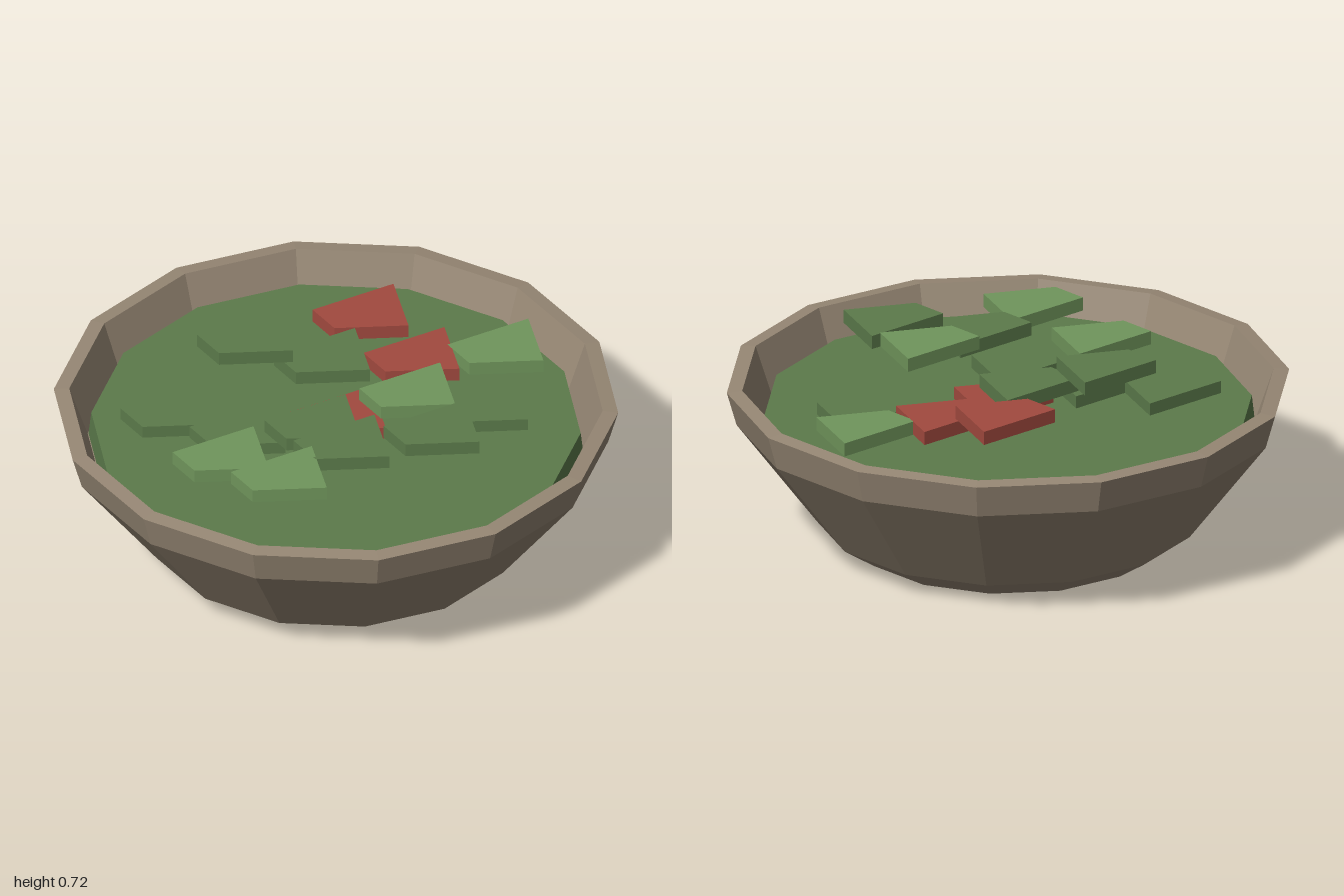
import * as THREE from 'three';

const SIDES = 14;

function material(name, color) {
  const m = new THREE.MeshStandardMaterial({ color, flatShading: true });
  m.name = name;
  return m;
}

export function createModel() {
  const group = new THREE.Group();
  group.name = 'saladBowl';

  const clay = material('clay', 0x968774);
  const leafGreen = material('leafGreen', 0x5c7b4b);
  const lightGreen = material('lightGreen', 0x70965c);
  const red = material('red', 0xa24a3f);

  const add = (name, geometry, mat, parent = group) => {
    const mesh = new THREE.Mesh(geometry, mat);
    mesh.name = name;
    parent.add(mesh);
    return mesh;
  };

  // Bowl: outer wall, rim, inner wall and hidden floor in one profile
  const profile = [
    [0, 0], [0.56, 0], [0.68, 0.08], [0.965, 0.46], [1, 0.584],
    [0.945, 0.59], [0.88, 0.4], [0, 0.4],
  ].map(([r, y]) => new THREE.Vector2(r, y));
  add('bowl', new THREE.LatheGeometry(profile, SIDES, Math.PI / 2), clay);

  // Salad filling
  const filling = new THREE.CylinderGeometry(0.867, 0.877, 0.09, SIDES, 1, false, Math.PI / 2);
  add('filling', filling, leafGreen).position.y = 0.445;

  // One chopped piece, measured from its back left corner
  const outline = new THREE.Shape(
    [[0.325, 0], [0, -0.045], [0.03, -0.18], [0.28, -0.26]].map(([x, y]) => new THREE.Vector2(x, y)),
  );
  const chunk = new THREE.ExtrudeGeometry(outline, { depth: 0.05, bevelEnabled: false });
  chunk.rotateX(-Math.PI / 2);

  // Layers of pieces from bottom to top: x, z, material
  const layers = [
    [[-0.70, -0.345, leafGreen], [-0.515, -0.15, leafGreen], [-0.152, -0.105, red], [0.335, 0.03, leafGreen]],
    [[-0.66, 0.055, lightGreen], [-0.285, -0.01, leafGreen], [0.193, -0.27, red], [0.488, -0.21, lightGreen]],
    [[-0.545, 0.325, lightGreen], [-0.268, 0.225, leafGreen], [-0.135, -0.30, leafGreen], [0.092, -0.505, red]],
    [[-0.376, -0.43, leafGreen], [0.035, 0.09, lightGreen], [0.03, 0.338, leafGreen]],
  ];
  const pieces = new THREE.Group();
  pieces.name = 'choppedPieces';
  group.add(pieces);
  layers.forEach((layer, i) => {
    layer.forEach(([x, z, mat]) => {
      const name = mat === red ? 'tomatoPiece' : 'leafPiece';
      add(name, chunk, mat, pieces).position.set(x, 0.486 + i * 0.06, z);
    });
  });

  return group;
}
